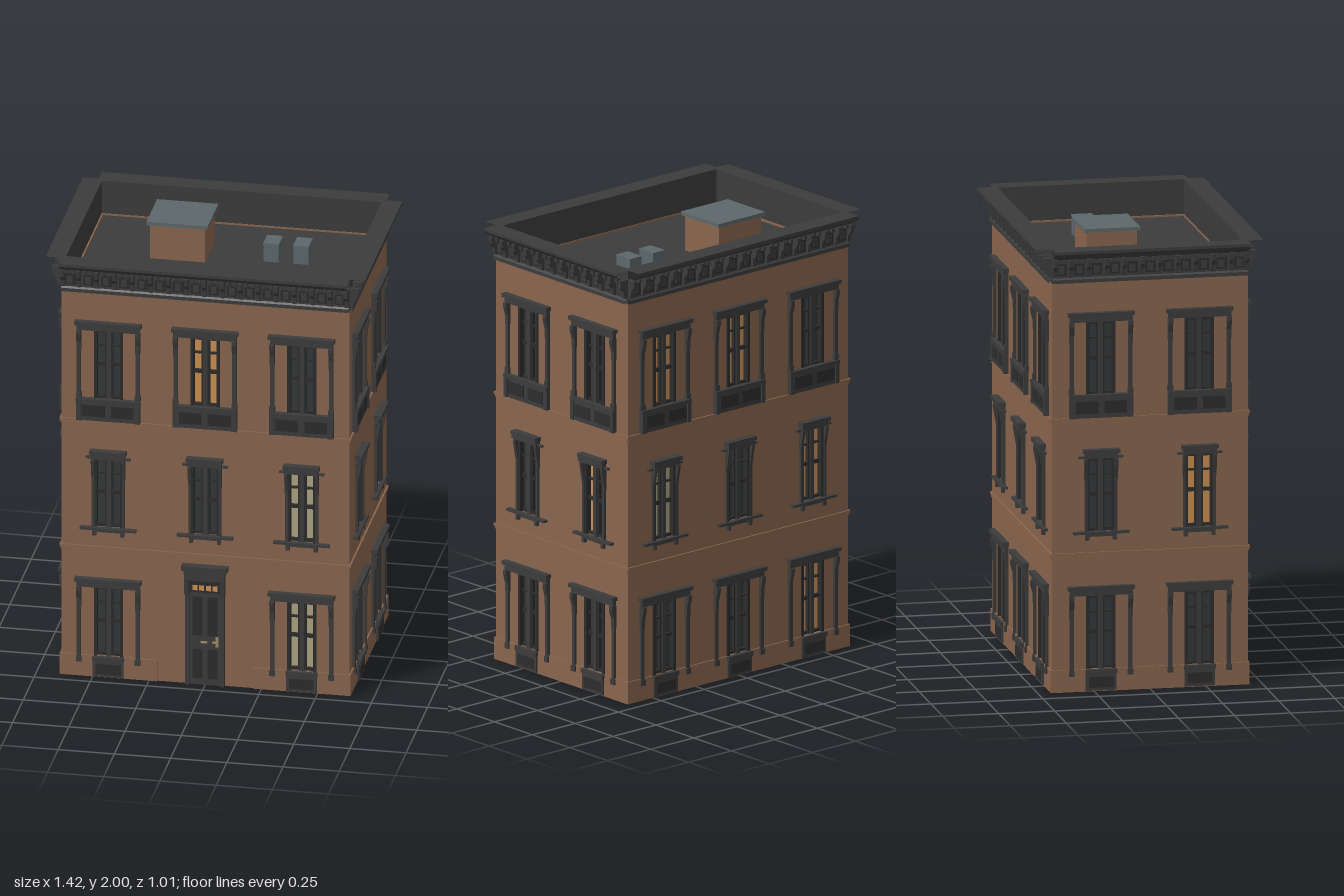
import * as THREE from 'three';

const paint = (name, color) => {
  const m = new THREE.MeshStandardMaterial({ color });
  m.name = name;
  return m;
};
const brick = paint('brownstone', 0x89654e);
const trim = paint('charcoal trim', 0x3c3c3c);
const sashMat = paint('black sash', 0x2c2c2c);
const darkGlass = paint('dark glass', 0x34383a);
const amber = paint('amber light', 0xcb9053);
const pale = paint('pale light', 0xaea582);
const steel = paint('roof metal', 0x5d686b);
const brass = paint('brass', 0xa08a66);

const W = 0.64, D = 0.437, WALL = 0.025, TOP = 1.83, CREST = 1.985;

// box centred on x, spanning y0..y1 and z0..z1
function box(parent, name, mat, x, w, y0, y1, z0, z1) {
  const mesh = new THREE.Mesh(new THREE.BoxGeometry(w, y1 - y0, z1 - z0), mat);
  mesh.position.set(x, (y0 + y1) / 2, (z0 + z1) / 2);
  mesh.name = name;
  parent.add(mesh);
  return mesh;
}

// side profile of [depth, y] points, given a thickness along x
function bracket(parent, name, mat, x, w, y, points) {
  const shape = new THREE.Shape(points.map(([d, h]) => new THREE.Vector2(-d, h)));
  const geo = new THREE.ExtrudeGeometry(shape, { depth: w, bevelEnabled: false });
  geo.rotateY(Math.PI / 2).translate(x - w / 2, y, 0);
  const mesh = new THREE.Mesh(geo, mat);
  mesh.name = name;
  parent.add(mesh);
}

// open-ended moulding: profile of [depth, y] points swept along x
function moulding(parent, name, mat, half, profile) {
  const pos = [];
  for (let i = 0; i < profile.length - 1; i++) {
    const [d0, y0] = profile[i], [d1, y1] = profile[i + 1];
    pos.push(-half, y0, d0, half, y0, d0, half, y1, d1);
    pos.push(-half, y0, d0, half, y1, d1, -half, y1, d1);
  }
  const geo = new THREE.BufferGeometry();
  geo.setAttribute('position', new THREE.Float32BufferAttribute(pos, 3));
  geo.computeVertexNormals();
  const mesh = new THREE.Mesh(geo, mat);
  mesh.name = name;
  parent.add(mesh);
}

const FLOORS = [
  { y0: 0.1, y1: 0.43 },
  { y0: 0.715, y1: 1.045 },
  { y0: 1.325, y1: 1.655 },
];
const HALF = 0.065;

// recessed pair of sashes with glass
function sash(g, glass, y0, y1) {
  const z = -WALL, h = y1 - y0;
  box(g, 'glass', glass, 0, HALF * 2, y0, y1, z, z + 0.004);
  for (const s of [-1, 1]) box(g, 'sashStile', sashMat, s * 0.058, 0.014, y0, y1, z, 0.006);
  box(g, 'mullion', trim, 0, 0.02, y0, y1, z, 0.002);
  for (const s of [-1, 1]) box(g, 'innerStile', sashMat, s * 0.014, 0.008, y0, y1, z, -0.006);
  for (const [t, th] of [[0.01, 0.02], [0.5, 0.016], [0.77, 0.008], [0.985, 0.02]])
    box(g, 'sashRail', sashMat, 0, HALF * 2, y0 + h * t - th / 2, y0 + h * t + th / 2, z, -0.008);
}

// wide surround for the ground and upper floors
function baySurround(g, base, y1) {
  box(g, 'hood', trim, 0, 0.28, y1, y1 + 0.025, 0, 0.018);
  box(g, 'hoodCap', trim, 0, 0.296, y1 + 0.025, y1 + 0.042, 0, 0.028);
  for (const s of [-1, 1]) {
    box(g, 'pilaster', trim, s * 0.131, 0.018, base, y1, 0, 0.012);
    box(g, 'pilasterFoot', trim, s * 0.131, 0.024, base, base + 0.025, 0, 0.016);
    bracket(g, 'hoodBracket', trim, s * 0.131, 0.02, y1,
      [[0, -0.1], [0.014, -0.1], [0.014, -0.06], [0.025, -0.02], [0.025, 0], [0, 0]]);
  }
}

function windowUnit(parent, floor, x, glass) {
  const g = new THREE.Group();
  g.name = ['groundWindow', 'middleWindow', 'upperWindow'][floor];
  g.position.x = x;
  parent.add(g);
  const { y0, y1 } = FLOORS[floor];
  sash(g, glass, y0, y1);
  if (floor === 0) {
    baySurround(g, 0.07, y1);
    box(g, 'sill', trim, 0, 0.14, 0.08, 0.1, 0, 0.022);
    box(g, 'basementPanel', trim, 0, 0.136, 0.005, 0.08, 0, 0.016);
    box(g, 'basementInset', sashMat, 0, 0.11, 0.018, 0.066, 0.016, 0.019);
  } else if (floor === 1) {
    for (const s of [-1, 1]) {
      box(g, 'casing', trim, s * 0.067, 0.012, y0, y1, 0, 0.012);
      bracket(g, 'hoodBracket', trim, s * 0.068, 0.014, y1,
        [[0, -0.1], [0.01, -0.1], [0.026, -0.01], [0.026, 0], [0, 0]]);
      box(g, 'sillBracket', trim, s * 0.062, 0.016, 0.677, 0.705, 0, 0.016);
    }
    box(g, 'hood', trim, 0, 0.148, y1, y1 + 0.022, 0, 0.024);
    box(g, 'hoodCap', trim, 0, 0.162, y1 + 0.022, y1 + 0.04, 0, 0.034);
    box(g, 'headBar', trim, 0, 0.2, 1.043, 1.052, 0, 0.014);
    box(g, 'sill', trim, 0, 0.25, 0.705, 0.716, 0, 0.022);
    box(g, 'apron', trim, 0, 0.13, 0.693, 0.705, 0, 0.01);
  } else {
    baySurround(g, 1.33, y1);
    box(g, 'balconyPanel', trim, 0, 0.272, 1.225, 1.315, 0, 0.016);
    box(g, 'balconyLedge', trim, 0, 0.284, 1.315, 1.33, 0, 0.024);
    for (const s of [-1, 1]) {
      box(g, 'balconyInset', sashMat, s * 0.064, 0.1, 1.245, 1.3, 0.016, 0.019);
      box(g, 'balconyPost', trim, s * 0.131, 0.022, 1.225, 1.315, 0, 0.022);
    }
  }
}

function door(parent) {
  const g = new THREE.Group();
  g.name = 'frontDoor';
  parent.add(g);
  box(g, 'doorLeaf', trim, 0, 0.14, 0, 0.44, 0, 0.006);
  box(g, 'transom', sashMat, 0, 0.14, 0.44, 0.52, 0, 0.006);
  for (let i = 0; i < 4; i++) box(g, 'transomLight', amber, -0.045 + i * 0.03, 0.022, 0.45, 0.474, 0.006, 0.009);
  for (const s of [-1, 1]) {
    box(g, 'doorJamb', trim, s * 0.078, 0.018, 0, 0.52, 0, 0.018);
    bracket(g, 'doorBracket', trim, s * 0.08, 0.02, 0.53,
      [[0, -0.1], [0.02, -0.1], [0.03, -0.02], [0.03, 0], [0, 0]]);
    for (const [a, b] of [[0.03, 0.17], [0.235, 0.42]])
      box(g, 'doorInset', sashMat, s * 0.033, 0.045, a, b, 0.006, 0.008);
  }
  box(g, 'doorHead', trim, 0, 0.17, 0.5, 0.53, 0, 0.022);
  box(g, 'doorHood', trim, 0, 0.184, 0.53, 0.55, 0, 0.03);
  box(g, 'doorHoodCap', trim, 0, 0.204, 0.55, 0.573, 0, 0.038);
  box(g, 'mailSlot', brass, -0.005, 0.03, 0.2, 0.209, 0.006, 0.011);
  box(g, 'doorPlate', brass, 0.054, 0.013, 0.185, 0.232, 0.006, 0.011);
  box(g, 'doorHandle', brass, 0.046, 0.024, 0.205, 0.212, 0.011, 0.018);
}

// cornice with crown, brackets and raised panels
function cornice(parent, half) {
  const g = new THREE.Group();
  g.name = 'cornice';
  parent.add(g);
  moulding(g, 'corniceCrown', trim, half, [
    [0, 1.83], [0.014, 1.832], [0.014, 1.848], [0.006, 1.855], [0.006, 1.935], [0.035, 1.945],
    [0.045, 1.955], [0.062, 1.962], [0.07, 1.972], [0.07, CREST], [0, CREST]]);
  const n = Math.round(half * 2 / 0.08), step = half * 2 / n;
  for (let i = 0; i <= n; i++) {
    const x = THREE.MathUtils.clamp(-half + i * step, -half + 0.009, half - 0.009);
    bracket(g, 'corniceBracket', trim, x, 0.018, 0,
      [[0, 1.858], [0.018, 1.858], [0.022, 1.89], [0.04, 1.91], [0.042, 1.942], [0, 1.942]]);
    if (i === n) break;
    const c = -half + (i + 0.5) * step;
    box(g, 'cornicePanel', sashMat, c, 0.046, 1.866, 1.918, 0.005, 0.01);
    box(g, 'cornicePanelBoss', trim, c, 0.026, 1.874, 1.908, 0.01, 0.014);
    for (const s of [-1, 1]) box(g, 'dentil', trim, c + s * 0.015, 0.014, 1.92, 1.937, 0.005, 0.022);
  }
}

// one facade, built facing +z with its wall surface on local z = 0
function facade(root, name, turn, half, dist, columns, rows, hasDoor) {
  const g = new THREE.Group();
  g.name = name;
  g.rotation.y = turn;
  g.position.set(Math.sin(turn) * dist, 0, Math.cos(turn) * dist);
  root.add(g);
  const wallHalf = half === W ? W : D - WALL;
  const rect = (P, x0, x1, y0, y1) => new P([[x0, y0], [x1, y0], [x1, y1], [x0, y1]].map(p => new THREE.Vector2(...p)));
  const shape = rect(THREE.Shape, -wallHalf, wallHalf, 0, TOP);
  rows.forEach((row, f) => row.forEach((glass, i) => {
    if (!glass) return;
    const x = columns[i], { y0, y1 } = FLOORS[f];
    shape.holes.push(rect(THREE.Path, x - HALF, x + HALF, y0, y1));
    windowUnit(g, f, x, glass);
  }));
  const geo = new THREE.ExtrudeGeometry(shape, { depth: WALL, bevelEnabled: false }).translate(0, 0, -WALL);
  const wall = new THREE.Mesh(geo, brick);
  wall.name = 'wall';
  g.add(wall);
  for (const y of [0.61, 1.213]) {
    box(g, 'stringCourse', brick, 0, half * 2 + 0.012, y, y + 0.012, 0, 0.008);
    box(g, 'stringCourseBed', brick, 0, half * 2, y - 0.012, y, 0, 0.004);
  }
  if (hasDoor) {
    for (const s of [-1, 1]) box(g, 'plinth', brick, s * 0.428, 0.43, 0, 0.1, 0, 0.007);
    door(g);
  } else box(g, 'plinth', brick, 0, half * 2 + 0.01, 0, 0.1, 0, 0.007);
  cornice(g, half);
}

export function createModel() {
  const root = new THREE.Group();
  root.name = 'townhouse';
  const o = darkGlass, a = amber, p = pale;

  // solid core and roof deck
  box(root, 'core', brick, 0, 2 * (W - WALL), 0, 1.81, -(D - WALL), D - WALL);
  box(root, 'roofDeck', trim, 0, 2 * (W - WALL), 1.81, 1.822, -(D - WALL), D - WALL);

  // four facades, rows listed from the ground up
  const wide = [-0.43, 0, 0.43], narrow = [-0.22, 0.22];
  facade(root, 'frontFacade', 0, W, D, wide, [[o, null, p], [o, o, p], [o, a, o]], true);
  facade(root, 'backFacade', Math.PI, W, D, wide, [[o, o, a], [p, o, a], [a, a, o]], false);
  for (const s of [-1, 1])
    facade(root, s > 0 ? 'leftFacade' : 'rightFacade', s * Math.PI / 2, D, W, narrow,
      [[o, o], [o, a], [o, o]], false);

  // parapet ring
  for (const s of [-1, 1]) {
    box(root, 'parapetLong', trim, 0, 2 * W, TOP, CREST, s * (D - 0.011) - 0.011, s * (D - 0.011) + 0.011);
    box(root, 'parapetShort', trim, s * (W - 0.009), 0.018, TOP, CREST, -D + 0.022, D - 0.022);
  }

  // roof hatch and vents
  box(root, 'hatchBase', brick, -0.205, 0.245, 1.82, 1.984, -0.217, 0.008);
  box(root, 'hatchLid', steel, -0.205, 0.272, 1.984, 2, -0.23, 0.02);
  for (const x of [0.2, 0.333]) {
    box(root, 'roofVent', steel, x, 0.066, 1.82, 1.905, -0.14, -0.05);
    box(root, 'ventCap', steel, x, 0.07, 1.9, 1.91, -0.142, -0.048);
  }
  return root;
}
